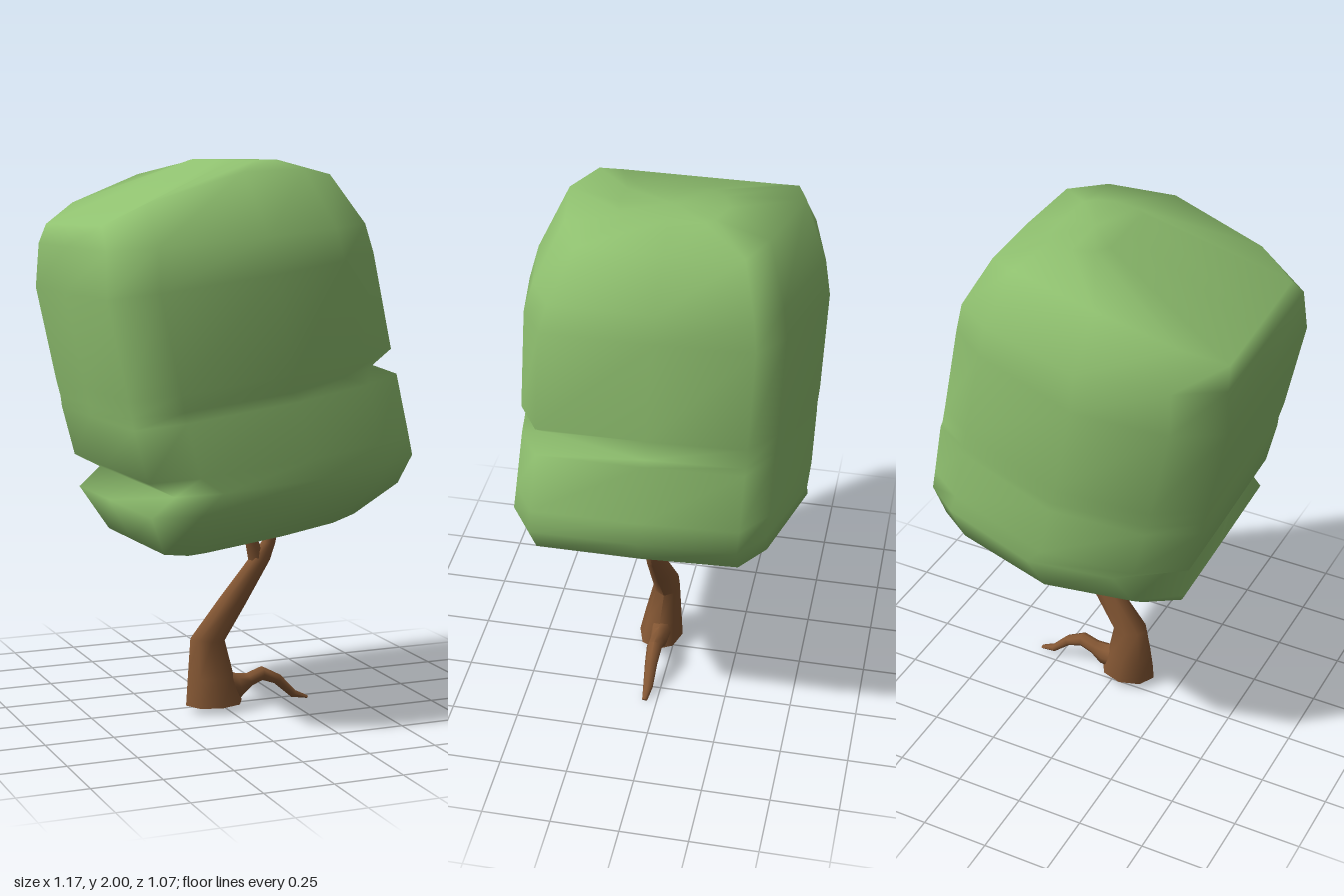
import * as THREE from 'three';
import { toCreasedNormals } from 'three/addons/utils/BufferGeometryUtils.js';

// Skins a stack of tilted rings. Each ring is [xLeft, yLeft, xRight, yRight, zBack, zFront];
// dent (optional) pulls in its front right corner and lift (optional) arches its middle.
// The profile is a closed outline in the -1..1 square.
function loft(rings, profile) {
  const n = profile.length, pos = [], idx = [];
  const centre = ([xl, yl, xr, yr, zb, zf]) => [(xl + xr) / 2, (yl + yr) / 2, (zb + zf) / 2];
  rings.forEach((r) => {
    const [cx, cy, cz] = centre(r);
    const [xl, yl, xr, yr, zb, zf, dent = 0, lift = 0] = r;
    profile.forEach(([u, v]) => pos.push(
      cx + u * (xr - xl) / 2 - dent * Math.max(0, u) * Math.max(0, v),
      cy + u * (yr - yl) / 2 + lift * (1 - u * u),
      cz + v * (zf - zb) / 2));
  });
  const last = rings.length - 1, c0 = rings.length * n, c1 = c0 + 1;
  pos.push(...centre(rings[0]), ...centre(rings[last]));
  for (let j = 0; j < n; j++) {
    const k = (j + 1) % n;
    for (let i = 0; i < last; i++) {
      const a = i * n + j, b = i * n + k;
      idx.push(a, a + n, b, b, a + n, b + n);
    }
    idx.push(c0, j, k, c1, last * n + k, last * n + j);
  }
  const g = new THREE.BufferGeometry();
  g.setAttribute('position', new THREE.Float32BufferAttribute(pos, 3));
  g.setIndex(idx);
  g.computeVertexNormals();
  return g;
}

export function createModel() {
  const leafGreen = new THREE.MeshStandardMaterial({ color: 0x8fc06f });
  leafGreen.name = 'leafGreen';
  const barkBrown = new THREE.MeshStandardMaterial({ color: 0x835633 });
  barkBrown.name = 'barkBrown';

  const model = new THREE.Group();
  model.name = 'tree';
  const add = (name, geometry, material) => {
    const mesh = new THREE.Mesh(geometry, material);
    mesh.name = name;
    model.add(mesh);
  };

  // Leaning boxy crown: a low notch along the left side, a higher one at the front right corner
  const boxy = [[0.96, -0.66], [1, 0], [1, 0.73], [0.7, 0.9], [0.15, 1], [-0.63, 0.94],
    [-0.95, 0.8], [-0.98, 0], [-1, -0.61], [-0.7, -0.85], [-0.07, -1], [0.7, -0.82]];
  add('crown', loft([
    [-0.22, 0.62, 0.12, 0.69, -0.12, 0.27],
    [-0.37, 0.66, 0.38, 0.75, -0.32, 0.44],
    [-0.44, 0.80, 0.53, 0.86, -0.50, 0.52],
    [-0.36, 0.87, 0.58, 0.96, -0.505, 0.535],
    [-0.455, 0.92, 0.565, 1.04, -0.51, 0.53],
    [-0.50, 1.10, 0.525, 1.25, -0.515, 0.51],
    [-0.505, 1.14, 0.515, 1.275, -0.515, 0.505, 0.13],
    [-0.52, 1.20, 0.50, 1.34, -0.52, 0.515],
    [-0.59, 1.54, 0.43, 1.68, -0.53, 0.51],
    [-0.58, 1.70, 0.41, 1.78, -0.51, 0.475],
    [-0.565, 1.77, 0.31, 1.95, -0.43, 0.37, 0, 0.09],
    [-0.06, 2.0, 0.17, 2.0, -0.2, 0.17],
  ], boxy), leafGreen);

  // Trunk, forked branches and root share an eight-sided section
  const round = Array.from({ length: 8 }, (_, i) => {
    const a = i * Math.PI / 4;
    return [Math.cos(a), Math.sin(a)];
  });
  const wood = (name, rings) => add(name, toCreasedNormals(loft(rings, round), 1.0), barkBrown);

  wood('trunk', [
    [-0.155, 0.025, 0.065, 0.025, -0.03, 0.14],
    [-0.145, 0.13, 0.035, 0.12, -0.023, 0.118],
    [-0.13, 0.27, 0.005, 0.25, -0.015, 0.085],
    [-0.02, 0.41, 0.085, 0.38, 0.0, 0.08],
    [0.095, 0.55, 0.18, 0.54, 0.015, 0.075],
    [0.145, 0.61, 0.20, 0.60, 0.025, 0.07],
    [0.19, 0.74, 0.225, 0.74, 0.04, 0.065],
  ]);
  wood('sideBranch', [
    [0.095, 0.54, 0.16, 0.56, 0.02, 0.07],
    [0.08, 0.62, 0.12, 0.64, 0.03, 0.066],
    [0.03, 0.72, 0.06, 0.73, 0.038, 0.06],
  ]);
  wood('root', [
    [-0.02, 0.15, 0.0, 0.03, 0.0, 0.09],
    [0.045, 0.125, 0.065, 0.03, 0.01, 0.08],
    [0.09, 0.12, 0.105, 0.07, 0.015, 0.075],
    [0.15, 0.14, 0.15, 0.088, 0.015, 0.073],
    [0.225, 0.10, 0.20, 0.07, 0.02, 0.068],
    [0.285, 0.035, 0.27, 0.01, 0.025, 0.062],
    [0.335, 0.01, 0.33, 0.0, 0.035, 0.055],
  ]);

  return model;
}
